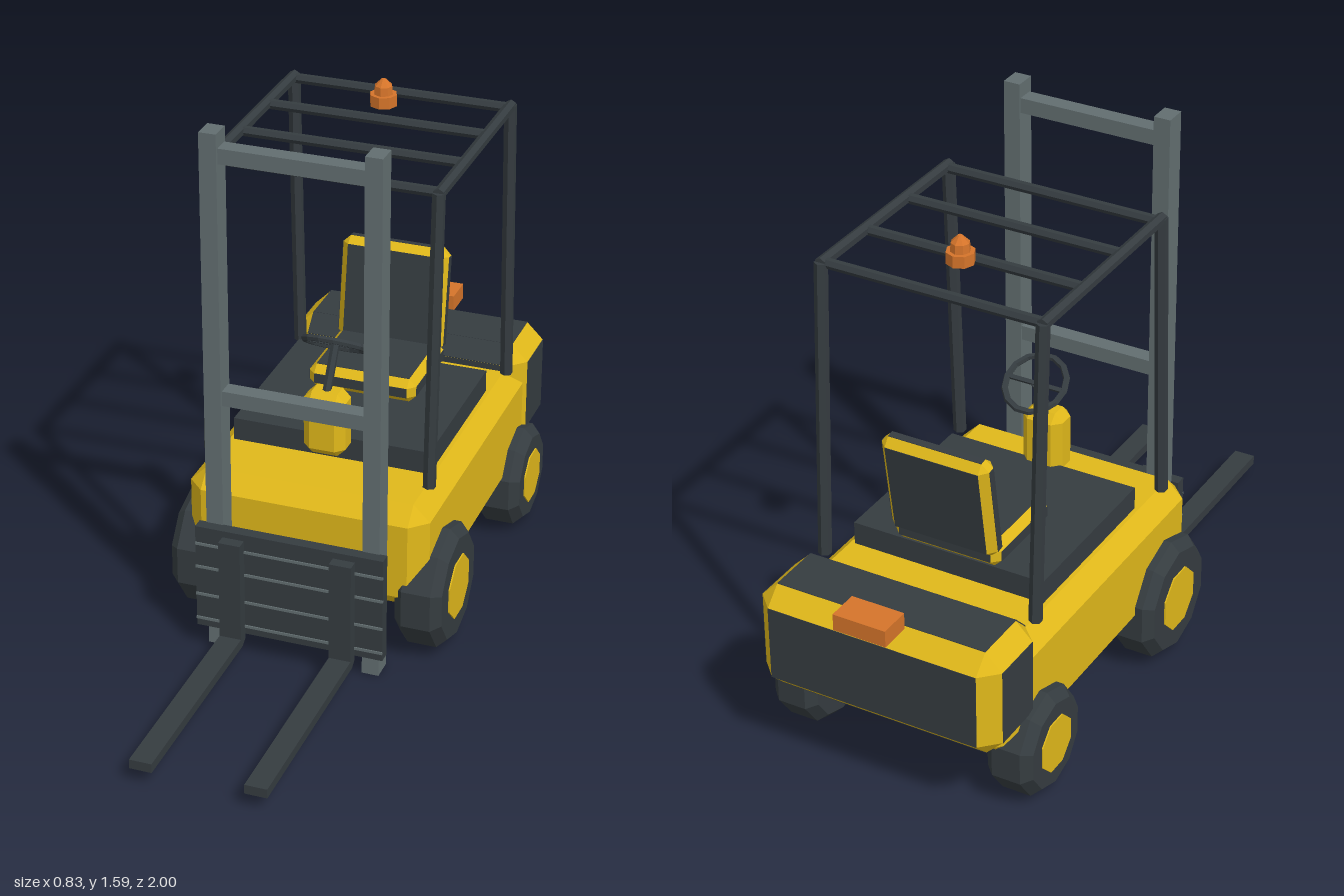
import * as THREE from 'three';
import { ConvexGeometry } from 'three/addons/geometries/ConvexGeometry.js';

const paint = (color) => new THREE.MeshStandardMaterial({ color, flatShading: true });
const yellow = paint(0xe0b81a);
const dark = paint(0x353c40);
const steel = paint(0x626e70);
const orange = paint(0xd5742a);

export function createModel() {
  const model = new THREE.Group();
  model.name = 'forklift';

  function add(name, geometry, material, x = 0, y = 0, z = 0, parent = model) {
    const mesh = new THREE.Mesh(geometry, material);
    mesh.name = name;
    mesh.position.set(x, y, z);
    parent.add(mesh);
    return mesh;
  }

  const box = (w, h, d) => new THREE.BoxGeometry(w, h, d);

  // Box with all edges cut at 45 degrees
  function chamferBox(w, h, d, c) {
    const points = [];
    for (const sx of [-1, 1]) for (const sy of [-1, 1]) for (const sz of [-1, 1]) {
      for (let full = 0; full < 3; full++) {
        const [x, y, z] = [w, h, d].map((s, i) => s / 2 - (i === full ? 0 : c));
        points.push(new THREE.Vector3(sx * x, sy * y, sz * z));
      }
    }
    return new ConvexGeometry(points);
  }

  // Yellow chamfered box whose six flat faces are dark panels
  function panelledBox(name, w, h, d, c, x, y, z) {
    const group = new THREE.Group();
    group.name = name;
    group.position.set(x, y, z);
    model.add(group);
    add(name + 'Edges', chamferBox(w, h, d, c), yellow, 0, 0, 0, group);
    const e = 0.003, i = 2 * c;
    add(name + 'SidePanels', box(w + e, h - i, d - i), dark, 0, 0, 0, group);
    add(name + 'TopPanel', box(w - i, h + e, d - i), dark, 0, 0, 0, group);
    add(name + 'FrontPanel', box(w - i, h - i, d + e), dark, 0, 0, 0, group);
    return group;
  }

  // Round bar between two points
  function bar(name, a, b, radius, material = dark, sides = 6) {
    const from = new THREE.Vector3(...a), to = new THREE.Vector3(...b);
    const dir = to.clone().sub(from);
    const mesh = add(name, new THREE.CylinderGeometry(radius, radius, dir.length(), sides), material);
    mesh.position.copy(from).add(to).multiplyScalar(0.5);
    mesh.quaternion.setFromUnitVectors(new THREE.Vector3(0, 1, 0), dir.normalize());
    return mesh;
  }

  // Chassis and deck
  add('body', chamferBox(0.72, 0.33, 1.055, 0.05), yellow, 0, 0.332, -0.322);
  add('deck', box(0.595, 0.075, 0.53), dark, 0, 0.528, -0.287);

  // Counterweight with a dark sloping front edge, and the rear light
  const weight = panelledBox('counterweight', 0.74, 0.325, 0.26, 0.05, 0, 0.403, -0.82);
  const slope = add('counterweightFrontSlope', box(0.64, 0.07, 0.006), dark, 0, 0.1375, 0.105, weight);
  slope.rotation.x = -Math.PI / 4;
  add('rearLight', box(0.16, 0.05, 0.095), orange, 0, 0.585, -0.9525);

  // Wheels
  function wheel(name, side, y, z, r, hubR) {
    const group = new THREE.Group();
    group.name = name;
    group.position.set(side * 0.34, y, z);
    model.add(group);
    const h = 0.07, c = 0.027;
    const profile = [[0, -h], [r - c, -h], [r, c - h], [r, h - c], [r - c, h], [0, h]]
      .map(([px, py]) => new THREE.Vector2(px, py));
    const tyre = new THREE.LatheGeometry(profile, 10, Math.PI / 2).rotateZ(Math.PI / 2);
    add(name + 'Tyre', tyre, dark, 0, 0, 0, group);
    const hub = new THREE.CylinderGeometry(hubR, hubR, 0.148, 8).rotateY(Math.PI / 8).rotateZ(Math.PI / 2);
    add(name + 'Hub', hub, yellow, 0, 0, 0, group);
  }
  for (const [label, side] of [['left', 1], ['right', -1]]) {
    wheel(label + 'FrontWheel', side, 0.187, 0.043, 0.183, 0.096);
    wheel(label + 'RearWheel', side, 0.16, -0.685, 0.157, 0.084);
  }

  // Seat
  panelledBox('seatCushion', 0.33, 0.074, 0.295, 0.022, 0, 0.601, -0.418);
  panelledBox('seatBack', 0.33, 0.32, 0.066, 0.022, 0, 0.765, -0.572).rotation.x = -0.15;

  // Steering column and wheel
  add('steeringColumn', chamferBox(0.126, 0.197, 0.096, 0.025), yellow, 0, 0.63, 0.006);
  bar('steeringShaft', [0, 0.71, 0.018], [0, 0.84, -0.06], 0.013);
  const steering = add('steeringWheel', new THREE.TorusGeometry(0.09, 0.01, 6, 14), dark, 0, 0.84, -0.06);
  steering.rotation.x = 0.98;
  add('steeringSpoke', box(0.18, 0.012, 0.01), dark, 0, 0, 0, steering);

  // Overhead guard
  for (const side of [-1, 1]) {
    const x = side * 0.33;
    bar('guardFrontPost', [x, 0.515, 0.077], [x, 1.4, 0.04], 0.019);
    bar('guardRearPost', [x, 0.515, -0.652], [x, 1.4, -0.61], 0.019);
    bar('guardSideRail', [x, 1.397, 0.045], [x, 1.397, -0.615], 0.017);
  }
  for (let i = 0; i < 4; i++) {
    const z = 0.025 - 0.208 * i;
    bar('guardCrossbar', [-0.33, 1.395, z], [0.33, 1.395, z], 0.015);
  }

  // Warning beacon
  add('beaconBase', new THREE.CylinderGeometry(0.04, 0.04, 0.034, 8), orange, 0, 1.431, -0.455);
  add('beaconLamp', new THREE.CylinderGeometry(0.026, 0.028, 0.026, 8), orange, 0, 1.46, -0.455);
  add('beaconCap', new THREE.CylinderGeometry(0.006, 0.026, 0.02, 8), orange, 0, 1.483, -0.455);

  // Mast
  for (const side of [-1, 1]) add('mastRail', box(0.05, 1.59, 0.065), steel, side * 0.233, 0.795, 0.258);
  for (const y of [0.798, 1.524]) add('mastCrossbar', box(0.42, 0.045, 0.05), steel, 0, y, 0.256);

  // Carriage plate with thin ribs
  add('carriage', box(0.56, 0.325, 0.035), dark, 0, 0.237, 0.305);
  for (const y of [0.1, 0.18, 0.27, 0.345]) add('carriageRib', box(0.56, 0.008, 0.008), steel, 0, y, 0.322);

  // Forks: L-shaped side profile with a cut heel
  const profile = new THREE.Shape([
    [0.322, 0.38], [0.322, 0.06], [0.342, 0.045], [1, 0.045], [1, 0.073], [0.356, 0.073], [0.356, 0.38],
  ].map(([z, y]) => new THREE.Vector2(z, y)));
  const fork = new THREE.ExtrudeGeometry(profile, { depth: 0.065, bevelEnabled: false })
    .translate(0, 0, -0.0325).rotateY(-Math.PI / 2);
  for (const side of [-1, 1]) add('fork', fork, dark, side * 0.165);

  return model;
}
